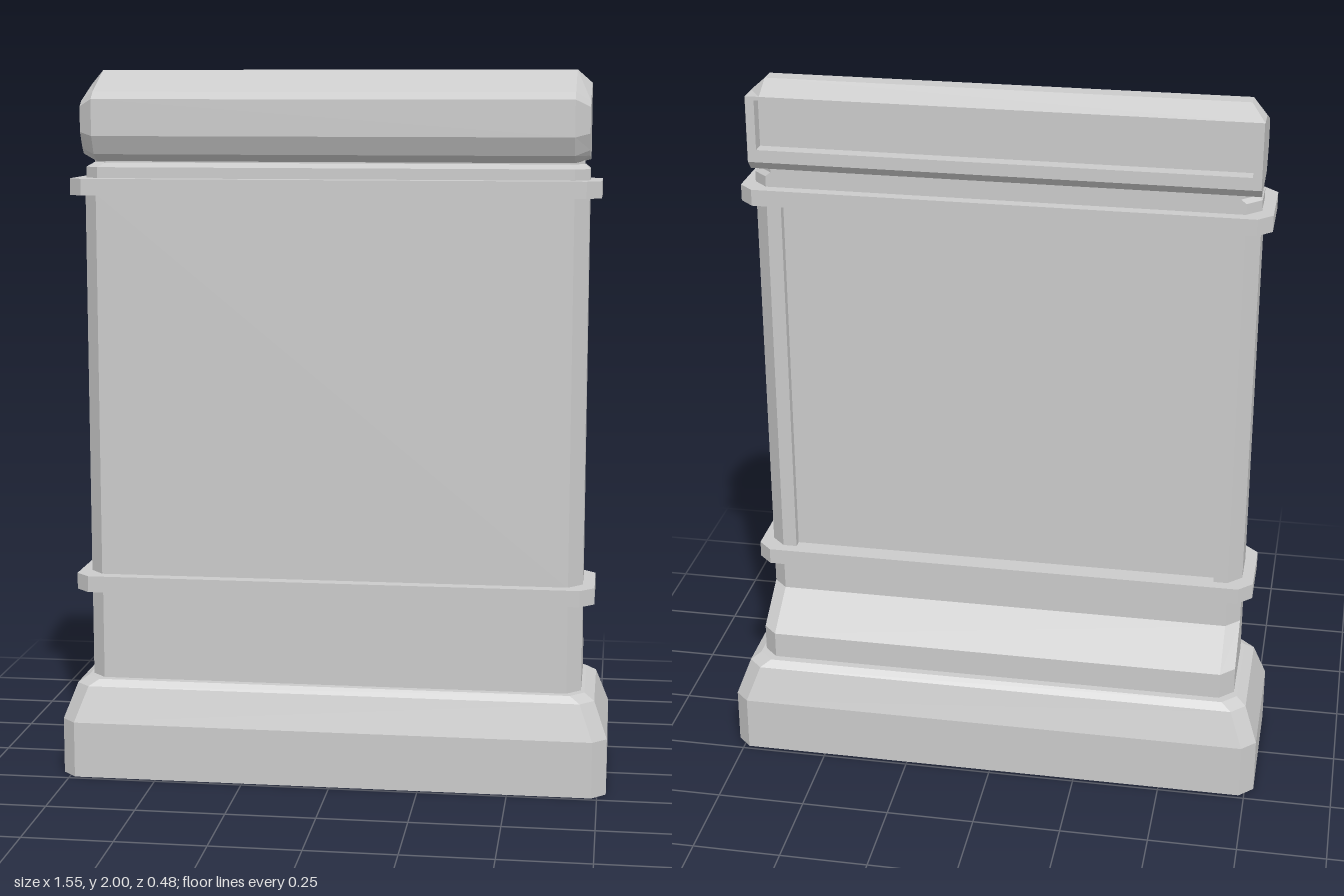
import * as THREE from 'three';

const material = new THREE.MeshStandardMaterial({
  color: 0xcccccc, flatShading: true, side: THREE.DoubleSide,
});

// Skin a list of cross-sections; optionally join each ring and close both ends.
function loft(rings, { closed = true, ends = false } = {}) {
  const pos = [];
  const tri = (...pts) => pts.forEach((p) => pos.push(...p));
  const n = rings[0].length;
  for (let k = 0; k + 1 < rings.length; k++) {
    for (let i = 0; i < (closed ? n : n - 1); i++) {
      const j = (i + 1) % n;
      const [a, b, c, d] = [rings[k][i], rings[k][j], rings[k + 1][j], rings[k + 1][i]];
      tri(a, b, c);
      tri(a, c, d);
    }
  }
  if (ends) {
    for (const [ring, isLast] of [[rings[0], false], [rings[rings.length - 1], true]]) {
      const mid = [0, 1, 2].map((axis) => ring.reduce((s, p) => s + p[axis], 0) / n);
      for (let i = 0; i < n; i++) {
        const a = ring[i], b = ring[(i + 1) % n];
        if (isLast) tri(mid, a, b);
        else tri(mid, b, a);
      }
    }
  }
  const geometry = new THREE.BufferGeometry();
  geometry.setAttribute('position', new THREE.Float32BufferAttribute(pos, 3));
  geometry.computeVertexNormals();
  return geometry;
}

// Horizontal rectangle with cut corners.
function slab(y, x, front, back, c = 0.04) {
  return [
    [-x + c, y, front], [x - c, y, front], [x, y, front - c], [x, y, back + c],
    [x - c, y, back], [-x + c, y, back], [-x, y, back + c], [-x, y, front - c],
  ];
}

export function createModel() {
  const model = new THREE.Group();
  const add = (name, geometry, parent = model) => {
    const mesh = new THREE.Mesh(geometry, material);
    mesh.name = name;
    parent.add(mesh);
    return mesh;
  };

  // Hollow foot, ledge and lower body with the sloping step at the back
  add('plinth', loft([
    slab(0, 0.775, 0.238, -0.238),
    slab(0.16, 0.775, 0.238, -0.238),
    slab(0.26, 0.738, 0.208, -0.205),
    slab(0.278, 0.71, 0.19, -0.185),
    slab(0.278, 0.7, 0.168, -0.163),
    slab(0.355, 0.7, 0.168, -0.163),
    slab(0.44, 0.7, 0.168, -0.03),
    slab(0.54, 0.7, 0.168, -0.03),
  ]));

  // Main slab, with a shallow panel let into the back
  const outline = [
    [-0.66, 0.175], [0.66, 0.175], [0.7, 0.13], [0.7, 0.01], [0.66, -0.03], [0.62, -0.03], [0.62, -0.005],
    [-0.62, -0.005], [-0.62, -0.03], [-0.66, -0.03], [-0.7, 0.01], [-0.7, 0.13],
  ].map(([x, z]) => new THREE.Vector2(x, -z));
  const body = new THREE.ExtrudeGeometry(new THREE.Shape(outline), { depth: 1.08, bevelEnabled: false });
  body.rotateX(-Math.PI / 2).translate(0, 0.58, 0);
  add('body', body);

  // Projecting bands below and above the main slab
  [['lowerBand', 0.537, 0.583], ['upperBand', 1.657, 1.703]].forEach(([name, y0, y1]) => {
    add(name, loft([slab(y0, 0.733, 0.212, -0.063), slab(y1, 0.733, 0.212, -0.063)], { ends: true }));
  });

  // Stepped neck under the cap
  add('neck', loft([
    slab(1.7, 0.7, 0.155, -0.03),
    slab(1.733, 0.7, 0.155, -0.03),
    slab(1.745, 0.685, 0.115, -0.03),
    slab(1.77, 0.685, 0.115, -0.03),
  ]));

  // Cap: rounded-off front, bevelled ends, open back filled by a frame
  const cap = new THREE.Group();
  cap.name = 'cap';
  model.add(cap);
  const full = [
    [-0.055, 1.965], [0.01, 2], [0.06, 2], [0.19, 1.94], [0.215, 1.92],
    [0.215, 1.82], [0.19, 1.77], [0.155, 1.75], [-0.03, 1.755], [-0.055, 1.78],
  ];
  const end = [
    [-0.055, 1.965], [0.01, 1.965], [0.03, 1.962], [0.16, 1.915], [0.18, 1.9],
    [0.18, 1.83], [0.155, 1.785], [0.14, 1.77], [-0.03, 1.755], [-0.055, 1.78],
  ];
  const section = (x, profile) => profile.map(([z, y]) => [x, y, z]);
  add('capShell', loft(
    [section(-0.7, end), section(-0.66, full), section(0.66, full), section(0.7, end)],
    { closed: false, ends: true },
  ), cap);

  // Frame around the recess in the back of the cap
  const rectangle = (x, y0, y1) => [[-x, y0], [x, y0], [x, y1], [-x, y1]].map((p) => new THREE.Vector2(...p));
  const frame = new THREE.Shape(rectangle(0.699, 1.78, 1.965));
  frame.holes.push(new THREE.Path(rectangle(0.675, 1.815, 1.955)));
  add('capFrame', new THREE.ExtrudeGeometry(frame, { depth: 0.04, bevelEnabled: false }), cap)
    .position.z = -0.055;
  add('capPanel', new THREE.BoxGeometry(1.37, 0.16, 0.01), cap).position.set(0, 1.885, -0.01);

  return model;
}
